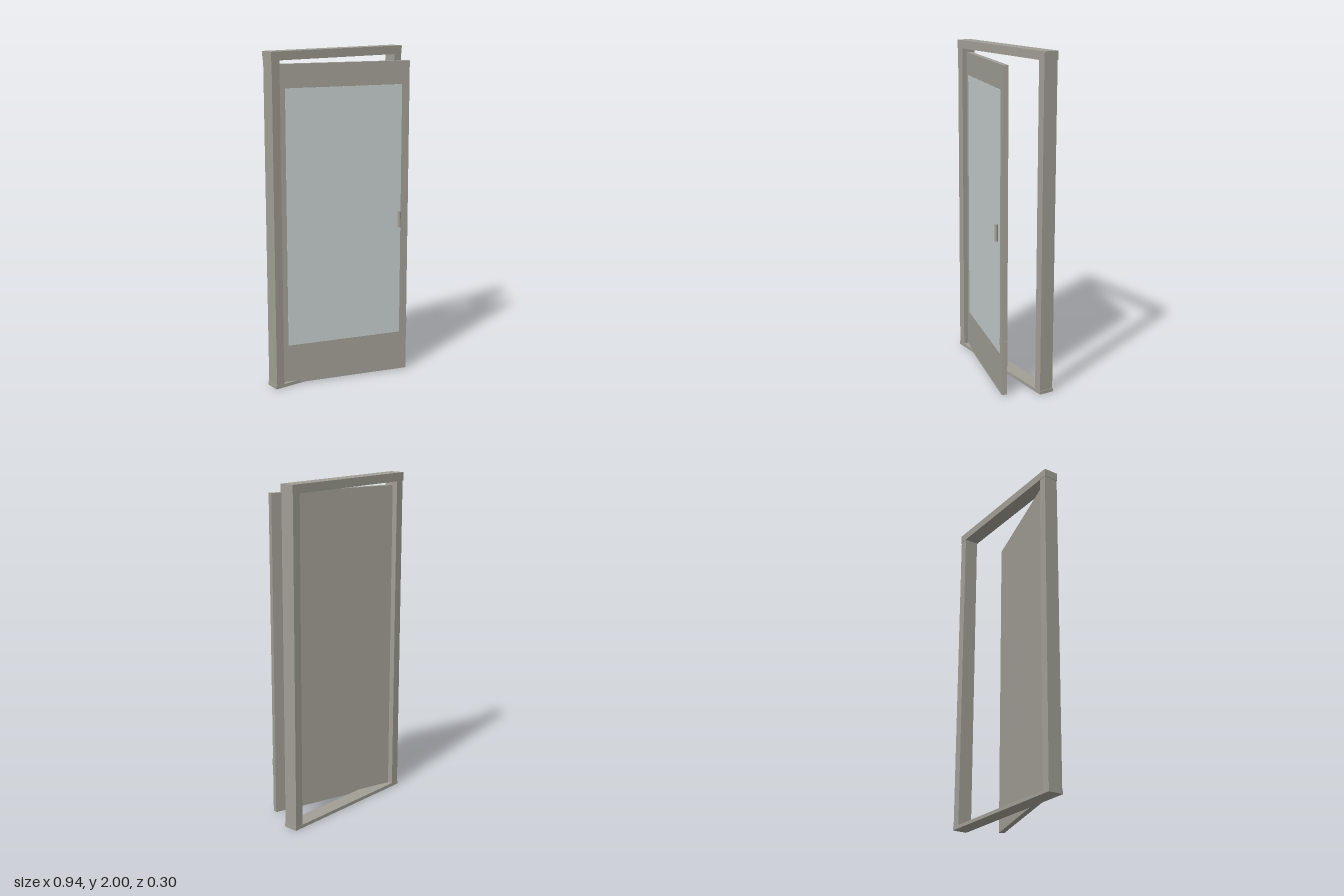
import * as THREE from 'three';

const frameMat = new THREE.MeshStandardMaterial({ color: 0xa09e94 });
const glassMat = new THREE.MeshStandardMaterial({ color: 0xc4ccca });

function box(parent, name, w, h, d, x, y, z, mat = frameMat) {
  const mesh = new THREE.Mesh(new THREE.BoxGeometry(w, h, d), mat);
  mesh.name = name;
  mesh.position.set(x, y, z);
  parent.add(mesh);
  return mesh;
}

export function createModel() {
  const model = new THREE.Group();
  model.name = 'openDoor';

  // Fixed frame: header and sill overhang the jambs by a hair
  const frame = new THREE.Group();
  frame.name = 'doorFrame';
  const frameZ = -0.105;
  box(frame, 'header', 0.942, 0.05, 0.091, 0, 1.975, frameZ);
  box(frame, 'sill', 0.942, 0.02, 0.091, 0, 0.01, frameZ);
  for (const side of [-1, 1]) {
    box(frame, side < 0 ? 'rightJamb' : 'leftJamb', 0.052, 1.93, 0.087, side * 0.441, 0.985, frameZ);
  }
  model.add(frame);

  // Door leaf, swung open about its edge at -x
  const width = 0.816, depth = 0.032;
  const door = new THREE.Group();
  door.name = 'door';
  door.position.set(-0.02, 0, 0.009);
  door.rotation.y = -0.288;
  box(door, 'doorPanel', width, 1.922, depth, 0, 0.966, 0);

  // Glass sits just proud of the panel's front face
  box(door, 'glassPane', 0.72, 1.54, 0.006, 0, 1.02, depth / 2 - 0.001, glassMat);

  // Cross rail wraps the panel's edges behind the glass
  box(door, 'crossRail', width + 0.006, 0.04, depth - 0.003, 0, 0.32, 0.0025);

  // Upright pull handle
  const handle = new THREE.Mesh(new THREE.CylinderGeometry(0.01, 0.01, 0.1, 24), frameMat);
  handle.name = 'handle';
  handle.position.set(0.344, 0.976, 0.035);
  door.add(handle);

  model.add(door);
  return model;
}
